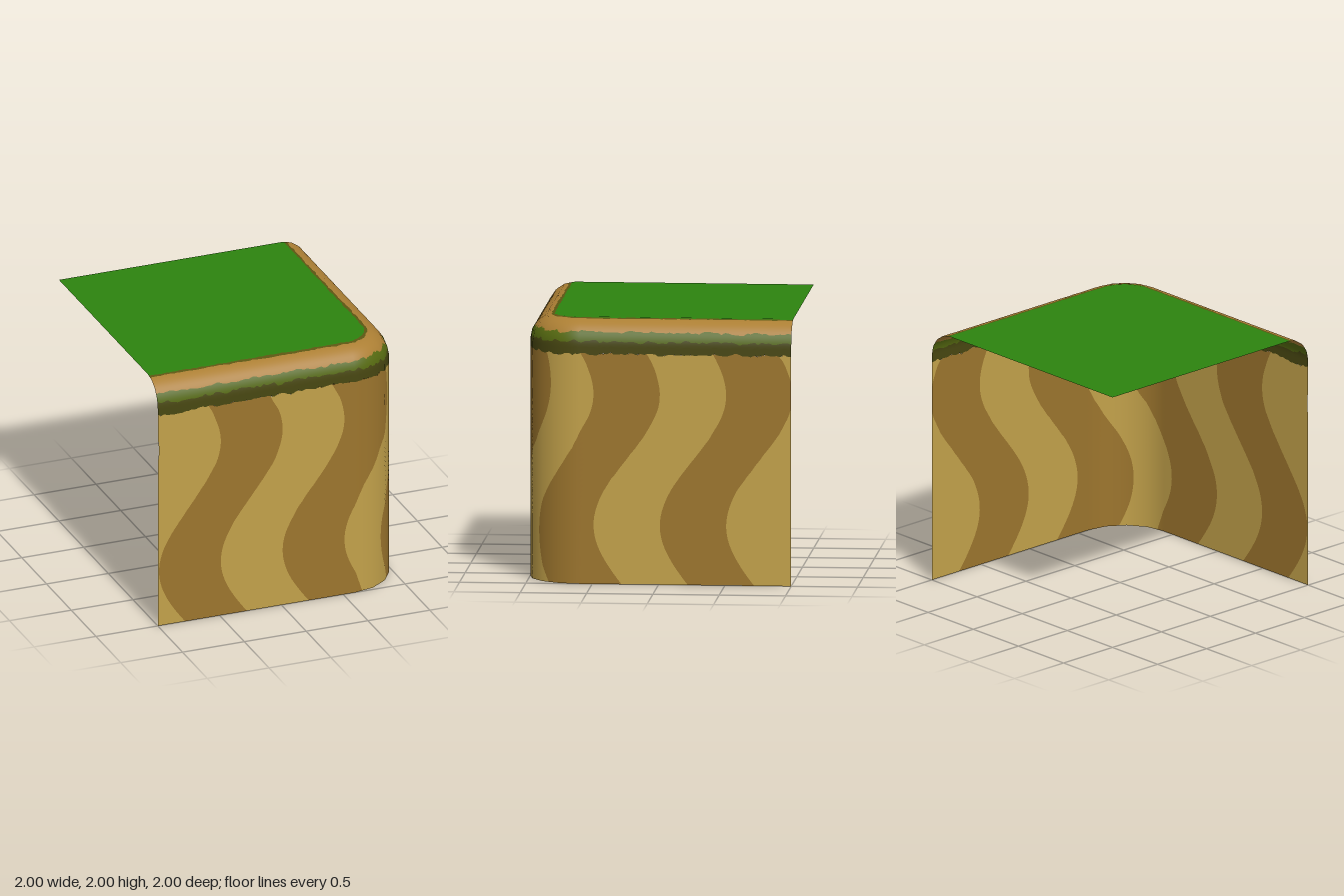
import * as THREE from 'three';

const CORNER = 0.6;   // where the straight walls turn into the rounded corner
const BEVEL = 0.2;    // radius of the rounded top edge
const SEAM = 1.8;     // height where the bevel starts
const TOP_T = SEAM + BEVEL * Math.PI / 2;

const mat = (name, color) => {
  const m = new THREE.MeshStandardMaterial({ color, side: THREE.DoubleSide });
  m.name = name;
  return m;
};

// Radius factor that turns an arc into straight chords
const facet = (a, n = 4) => {
  const seg = Math.PI / 2 / n;
  const k = Math.min(Math.floor(a / seg + 1e-6), n - 1);
  return Math.cos(seg / 2) / Math.cos(a - k * seg - seg / 2);
};

const cornerAngle = (u) => THREE.MathUtils.clamp((u - CORNER) / 0.8, 0, 1) * Math.PI / 2;

// u runs along the front wall, round the corner and back along the side wall;
// t runs up the wall and over the bevel
function surface(u, t) {
  const th = cornerAngle(u);
  const phi = THREE.MathUtils.clamp((t - SEAM) / BEVEL, 0, Math.PI / 2);
  const b = BEVEL * facet(phi);
  const r = (0.2 + b * Math.cos(phi)) * facet(th);
  const y = t <= SEAM ? t : SEAM + b * Math.sin(phi);
  const x = Math.min(u, CORNER) + r * Math.sin(th);
  const z = Math.min(2 - u, CORNER) + r * Math.cos(th);
  const c = Math.cos(phi);
  return { p: [x, y, z], n: [Math.sin(th) * c, Math.sin(phi), Math.cos(th) * c] };
}

// Grid patch on the surface; at(i, j) in 0..1 returns [u, t]
function patch(cols, rows, at) {
  const pos = [], nor = [], idx = [];
  for (let j = 0; j <= rows; j++) {
    for (let i = 0; i <= cols; i++) {
      const s = surface(...at(i / cols, j / rows));
      pos.push(...s.p);
      nor.push(...s.n);
      if (i < cols && j < rows) {
        const a = j * (cols + 1) + i, d = a + cols + 1;
        idx.push(a, a + 1, d + 1, a, d + 1, d);
      }
    }
  }
  const g = new THREE.BufferGeometry();
  g.setAttribute('position', new THREE.Float32BufferAttribute(pos, 3));
  g.setAttribute('normal', new THREE.Float32BufferAttribute(nor, 3));
  g.setIndex(idx);
  return g;
}

// Seeded smooth noise in -1..1
const hash = (i, seed) => {
  const s = Math.sin(i * 127.1 + seed * 311.7) * 43758.5453;
  return (s - Math.floor(s)) * 2 - 1;
};
function noise(x, seed) {
  const i = Math.floor(x), f = x - i, w = f * f * (3 - 2 * f);
  return hash(i, seed) * (1 - w) + hash(i + 1, seed) * w;
}
const ragged = (base, amp, seed) => (u) =>
  base + amp * (0.6 * noise(u * 14, seed) + 0.6 * noise(u * 36, seed + 5));

// Ragged borders between the bands, from low to high
const edges = [
  ragged(1.745, 0.014, 1),
  ragged(1.838, 0.018, 2),
  ragged(1.914, 0.016, 3),
  ragged(2.072, 0.009, 4),
  ragged(2.096, 0.007, 6),
  () => TOP_T,
];

// Wavy stripe border k at height y, leaning as it passes the corner
function stripeBorder(k, y) {
  const base = -0.74 + 0.5 * k + 0.25 * Math.sin(Math.PI * (y - 0.95));
  let u = base;
  for (let n = 0; n < 25; n++) {
    u = base + 0.17 * (y - 0.9) * Math.sin(2 * cornerAngle(u));
  }
  return THREE.MathUtils.clamp(u, -1, 3);
}

export function createModel() {
  const model = new THREE.Group();
  model.name = 'grassBlockCorner';

  const lightEarth = mat('lightEarth', 0xc2a14a);
  const darkEarth = mat('darkEarth', 0x9c752d);
  const shadeMoss = mat('darkMoss', 0x484711);
  const moss = mat('moss', 0x566a10);
  const soil = mat('soil', 0xac7f34);
  const rim = mat('rimMoss', 0x5c5612);
  const grass = mat('grass', 0x2d830f);

  const add = (name, geometry, material) => {
    const m = new THREE.Mesh(geometry, material);
    m.name = name;
    model.add(m);
  };

  // Wavy earth stripes of both walls
  for (let k = -1; k < 8; k++) {
    const geometry = patch(30, 44, (i, j) => {
      const y = j * 1.745;
      const u = THREE.MathUtils.lerp(stripeBorder(k, y), stripeBorder(k + 1, y), i);
      return [u, j * edges[0](u)];
    });
    add('earthStripe' + (k + 2), geometry, k % 2 === 0 ? darkEarth : lightEarth);
  }

  // Ragged bands running round the top edge
  const bands = [
    ['lowerMossBand', shadeMoss, 4],
    ['upperMossBand', moss, 4],
    ['soilBand', soil, 8],
    ['rimMossBand', rim, 2],
    ['grassFringe', grass, 2],
  ];
  bands.forEach(([name, material, rows], b) => {
    const geometry = patch(400, rows, (i, j) => {
      const u = -1 + 4 * i;
      return [u, THREE.MathUtils.lerp(edges[b](u), edges[b + 1](u), j)];
    });
    add(name, geometry, material);
  });

  // Flat grass top with one rounded corner
  const top = new THREE.Shape();
  top.moveTo(-1, 1);
  top.lineTo(-1, -0.8);
  top.lineTo(CORNER, -0.8);
  top.absarc(CORNER, -CORNER, 0.2, -Math.PI / 2, 0, false);
  top.lineTo(0.8, 1);
  const topGeometry = new THREE.ShapeGeometry(top, 4);
  topGeometry.rotateX(-Math.PI / 2).translate(0, 2, 0);
  add('grassTop', topGeometry, grass);

  return model;
}
